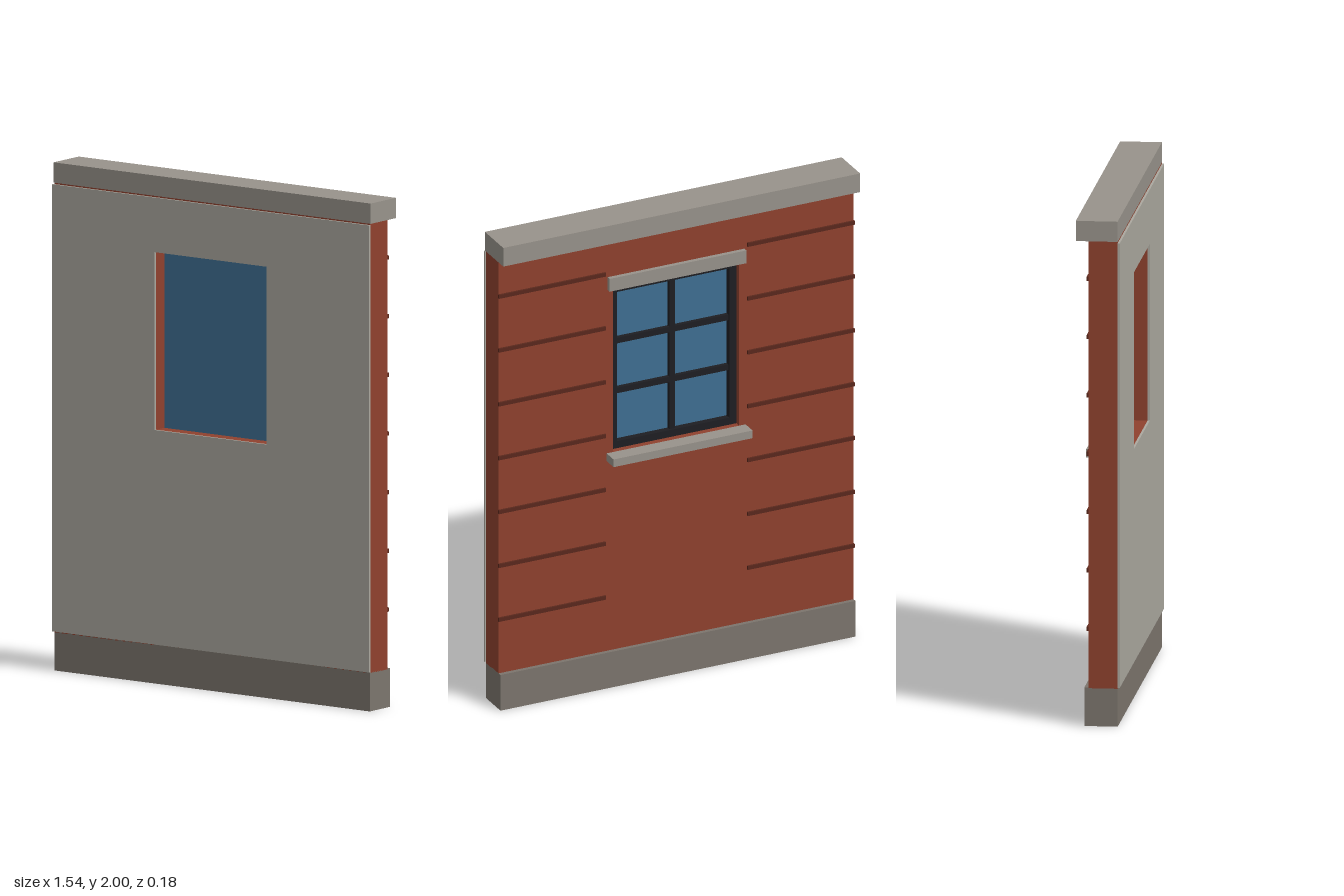
import * as THREE from 'three';

const mat = (color) => new THREE.MeshStandardMaterial({ color });

export function createModel() {
  const group = new THREE.Group();
  const brick = mat(0x8f412e), plaster = mat(0xaba89f), stone = mat(0x98938b);
  const plinthStone = mat(0x7c756d), groove = mat(0x5a281c);
  const frameDark = mat(0x1e1e22), glass = mat(0x3f6f93);

  const add = (name, geometry, material) => {
    const mesh = new THREE.Mesh(geometry, material);
    mesh.name = name;
    group.add(mesh);
  };
  // Box given by its extents on each axis
  const box = (name, material, [x0, x1], [y0, y1], [z0, z1]) => {
    const g = new THREE.BoxGeometry(x1 - x0, y1 - y0, z1 - z0);
    g.translate((x0 + x1) / 2, (y0 + y1) / 2, (z0 + z1) / 2);
    add(name, g, material);
  };
  const rect = (target, w, y0, y1) => {
    target.moveTo(-w, y0).lineTo(w, y0).lineTo(w, y1).lineTo(-w, y1).closePath();
    return target;
  };
  // Rectangular slab with a rectangular opening
  const slab = (name, material, outer, hole, z0, z1) => {
    const shape = rect(new THREE.Shape(), ...outer);
    shape.holes.push(rect(new THREE.Path(), ...hole));
    const g = new THREE.ExtrudeGeometry(shape, { depth: z1 - z0, bevelEnabled: false });
    g.translate(0, 0, z0);
    add(name, g, material);
  };

  const opening = [0.272, 1.0, 1.7];

  // Wall: brick outside, thin plaster layer on the front
  slab('brickWall', brick, [0.766, 0.15, 1.92], opening, -0.03, 0.083);
  slab('plasterLayer', plaster, [0.77, 0.155, 1.915], opening, 0.083, 0.092);

  // Base and cap
  box('plinth', plinthStone, [-0.766, 0.766], [0, 0.153], [-0.047, 0.083]);
  box('cornice', stone, [-0.77, 0.77], [1.92, 2], [-0.08, 0.083]);

  // Window: pane in front, frame and glazing bars behind it
  box('windowPane', glass, [-0.272, 0.272], [1.0, 1.7], [0.02, 0.03]);
  slab('windowFrame', frameDark, opening, [0.242, 1.03, 1.67], -0.005, 0.02);
  box('verticalGlazingBar', frameDark, [-0.012, 0.012], [1.03, 1.67], [0.003, 0.02]);
  for (const y of [1.243, 1.457])
    box('horizontalGlazingBar', frameDark, [-0.242, 0.242], [y - 0.012, y + 0.012], [0.003, 0.02]);

  // Stone sill and lintel on the back
  box('windowSill', stone, [-0.3, 0.3], [0.967, 1.0], [-0.092, -0.03]);
  box('windowLintel', stone, [-0.295, 0.295], [1.7, 1.755], [-0.048, -0.03]);

  // Course strips on both sides of the window
  for (let i = 0; i < 7; i++) {
    const y = 0.385 + i * 0.231;
    for (const s of [-1, 1])
      box('courseStrip', groove, s < 0 ? [-0.768, -0.306] : [0.306, 0.768], [y - 0.008, y + 0.008], [-0.038, -0.03]);
  }
  return group;
}
